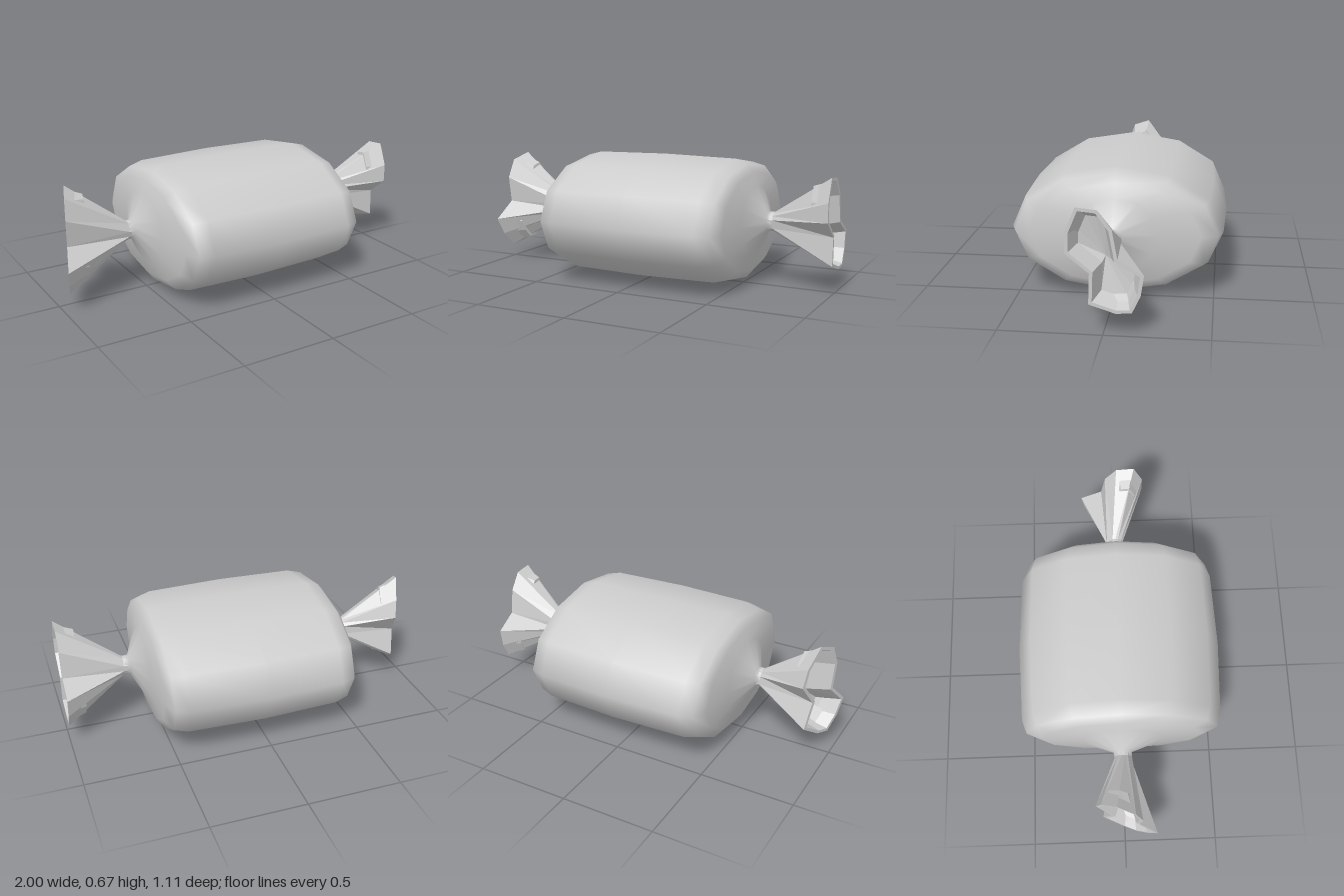
import * as THREE from 'three';

// Skin a list of equal-length closed rings; rings advance along +x, points turn from +y to +z
function loft(rings, flat) {
  const n = rings[0].length, pos = [], index = [];
  rings.forEach(r => r.forEach(p => pos.push(...p)));
  for (let i = 0; i < rings.length - 1; i++) {
    for (let j = 0; j < n; j++) {
      const a = i * n + j, b = i * n + (j + 1) % n;
      index.push(a, b, b + n, a, b + n, a + n);
    }
  }
  let g = new THREE.BufferGeometry();
  g.setAttribute('position', new THREE.Float32BufferAttribute(pos, 3));
  g.setIndex(index);
  if (flat) g = g.toNonIndexed();
  g.computeVertexNormals();
  return g;
}

// Mitred inward offset of a closed [z, y] outline
function inset(pts, d) {
  const n = pts.length;
  const normal = (p, q) => new THREE.Vector2(q[1] - p[1], p[0] - q[0]).normalize();
  return pts.map((p, i) => {
    const a = normal(pts[(i + n - 1) % n], p), b = normal(p, pts[(i + 1) % n]);
    const m = a.clone().add(b).normalize();
    const k = d / Math.max(0.6, m.dot(a));
    return [p[0] + m.x * k, p[1] + m.y * k];
  });
}

const NECK_Y = 0.345;

// Crumpled outline of the twisted wrapper end, [z, y] about the neck axis
const OUTLINE = [
  [0.12, 0.265], [0.02, 0.255], [-0.045, 0.165], [-0.07, 0.025],
  [-0.19, -0.045], [-0.175, -0.145], [-0.135, -0.23], [-0.06, -0.235],
  [0.065, -0.195], [0.06, -0.045], [0.17, 0.045], [0.17, 0.145],
].reverse();

// Flared hollow wrapper end, opening toward +x, optionally rolled and with a slanted mouth
function tailGeometry(roll, slant) {
  const L = 0.35, c = Math.cos(roll), s = Math.sin(roll);
  const ring = (x, pts) => pts.map(([z, y]) => {
    const zr = z * c - y * s, yr = y * c + z * s;
    return [x + slant * zr * x / L, yr, zr];
  });
  const neck = OUTLINE.map(([z, y]) => {
    const r = Math.hypot(z, y);
    return [z / r * 0.048, y / r * 0.052];
  });
  return loft([
    ring(0, neck),
    ring(0.02, neck),
    ring(L, OUTLINE),
    ring(L, inset(OUTLINE, 0.016)),
    ring(0.25, inset(OUTLINE, 0.046)),
    ring(0.22, OUTLINE.map(() => [0, 0])),
  ], true);
}

export function createModel() {
  const group = new THREE.Group();
  const smooth = new THREE.MeshStandardMaterial({ color: 0xcccccc });
  const faceted = new THREE.MeshStandardMaterial({
    color: 0xcccccc, flatShading: true, side: THREE.DoubleSide,
  });
  const add = (name, geometry, material) => {
    const m = new THREE.Mesh(geometry, material);
    m.name = name;
    group.add(m);
    return m;
  };

  // Body: twelve-sided oval sections [x from the middle, y radius, z radius, centre y]
  const half = [
    [0.41, 0.329, 0.54, 0.336], [0.485, 0.308, 0.515, 0.337],
    [0.52, 0.262, 0.435, 0.338], [0.535, 0.19, 0.22, 0.34],
    [0.606, 0.053, 0.05, NECK_Y], [0.635, 0.05, 0.046, NECK_Y],
  ];
  const sections = [
    ...half.map(([x, ...r]) => [-x, ...r]).reverse(),
    [0, 0.336, 0.555, 0.336],
    ...half,
  ];
  const rings = sections.map(([x, ry, rz, cy]) => Array.from({ length: 12 }, (_, j) => {
    const a = j * Math.PI / 6;
    return [x + 0.03, cy + ry * Math.cos(a), rz * Math.sin(a)];
  }));
  add('wrappedBody', loft(rings, false), smooth);

  // Twisted wrapper ends
  const left = add('leftWrapperEnd', tailGeometry(0, 0), faceted);
  left.position.set(0.65, NECK_Y, 0);
  const right = add('rightWrapperEnd', tailGeometry(0.28, -0.38), faceted);
  right.position.set(-0.585, NECK_Y, 0);
  right.rotation.y = Math.PI;

  return group;
}
